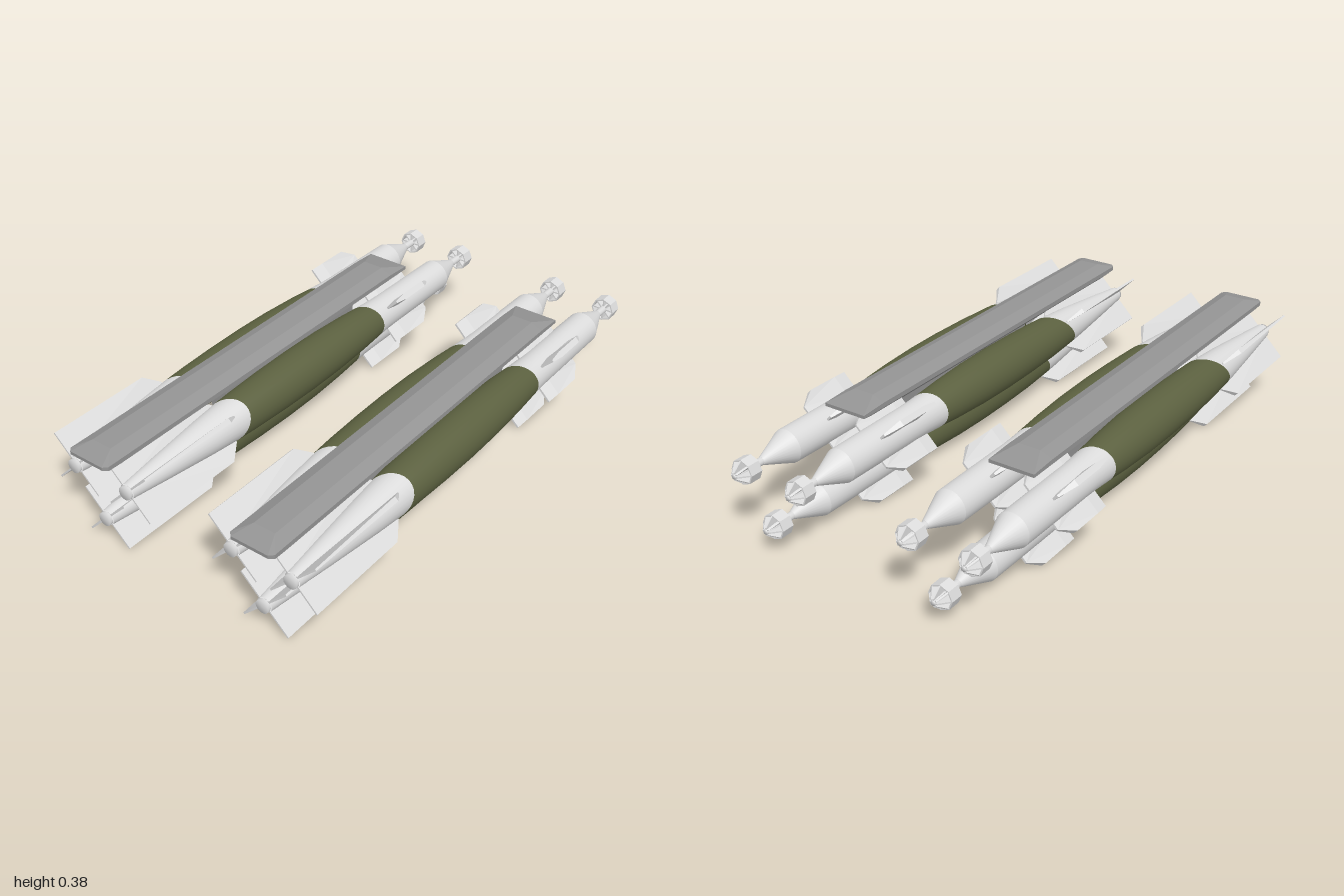
import * as THREE from 'three';
import { ConvexGeometry } from 'three/addons/geometries/ConvexGeometry.js';

const paint = (name, color, side = THREE.FrontSide) => {
  const m = new THREE.MeshStandardMaterial({ color, side });
  m.name = name;
  return m;
};

export function createModel() {
  const light = paint('light grey', 0xdcdcdc, THREE.DoubleSide);
  const olive = paint('olive', 0x5c6140);
  const grey = paint('rack grey', 0x949494);

  const add = (parent, name, geometry, material) => {
    const mesh = new THREE.Mesh(geometry, material);
    mesh.name = name;
    parent.add(mesh);
    return mesh;
  };

  // Body outline as [x, radius]
  const outline = [[-0.95, 0.028], [-0.8, 0.044], [-0.6, 0.064], [-0.49, 0.073], [-0.4, 0.078], [-0.25, 0.083],
    [-0.1, 0.085], [0.05, 0.083], [0.2, 0.076], [0.305, 0.068], [0.38, 0.064], [0.76, 0.061]];
  const radiusAt = (x) => {
    let i = 1;
    while (i < outline.length - 1 && outline[i][0] < x) i++;
    const [a, b] = [outline[i - 1], outline[i]];
    return THREE.MathUtils.mapLinear(x, a[0], b[0], a[1], b[1]);
  };

  // Turned section lying along x
  const turned = (points, sides = 28) =>
    new THREE.LatheGeometry(points.map(([x, r]) => new THREE.Vector2(r, x)), sides).rotateZ(-Math.PI / 2);

  // Slant the two colour borders around the body
  const slanted = (points) => {
    const g = turned(points), p = g.attributes.position;
    for (let i = 0; i < p.count; i++) {
      const x = p.getX(i), y = p.getY(i), z = p.getZ(i), r = Math.hypot(y, z);
      let nx = x;
      if (Math.abs(x + 0.49) < 0.001) nx += 0.038 * (y + z) / r;
      else if (Math.abs(x - 0.305) < 0.001) nx += 0.022 * z / r;
      else continue;
      const s = radiusAt(nx) / r;
      p.setXYZ(i, nx, y * s, z * s);
    }
    return g;
  };

  // Radial plate, thinned at its leading and trailing edges
  const fin = (points, thickness, x0, x1) => {
    const g = new THREE.ExtrudeGeometry(new THREE.Shape(points.map((q) => new THREE.Vector2(...q))),
      { depth: thickness, bevelEnabled: false }).translate(0, 0, -thickness / 2);
    const p = g.attributes.position;
    for (let i = 0; i < p.count; i++) {
      const x = p.getX(i);
      if (x < x0 + 0.001 || x > x1 - 0.001) p.setZ(i, p.getZ(i) * 0.35);
    }
    g.computeVertexNormals();
    return g;
  };

  const parts = {
    tailBody: [slanted(outline.slice(0, 4)), light],
    middleBody: [slanted(outline.slice(3, 10)), olive],
    forwardBody: [slanted(outline.slice(9)), light],
    noseCone: [turned([[0.76, 0.061], [0.88, 0.014]]), light],
    noseRod: [turned([[0.88, 0.014], [0.96, 0.014]], 12), light],
    noseTip: [turned([[0.96, 0.014], [1, 0.009], [1, 0]], 12), light],
    tailEnd: [turned([[-0.962, 0], [-0.962, 0.025], [-0.95, 0.025]], 16), light],
    noseRing: [turned([[0.92, 0.04], [0.92, 0.045], [0.966, 0.045], [0.966, 0.04], [0.92, 0.04]], 8).toNonIndexed(), light],
  };
  parts.noseRing[0].computeVertexNormals();
  const tailFin = fin([[-0.95, 0.015], [-0.5, 0.06], [-0.5, 0.075], [-0.56, 0.124], [-0.95, 0.124]], 0.018, -0.95, -0.5);
  const canard = fin([[0.375, 0.05], [0.43, 0.05], [0.55, 0.05], [0.61, 0.05], [0.61, 0.085], [0.55, 0.124],
    [0.43, 0.124], [0.375, 0.124]], 0.022, 0.375, 0.61);
  const vane = fin([[0.925, 0.005], [0.998, 0.005], [0.998, 0.014], [0.966, 0.042], [0.925, 0.042]], 0.005, 0, 2);

  const makeBomb = (y, z) => {
    const bomb = new THREE.Group();
    bomb.name = 'bomb';
    for (const [name, [geometry, material]] of Object.entries(parts)) add(bomb, name, geometry, material);
    for (let i = 0; i < 4; i++) {
      const angle = Math.PI / 4 + i * Math.PI / 2;
      add(bomb, 'tailFin', tailFin, light).rotation.x = angle;
      add(bomb, 'frontFin', canard, light).rotation.x = angle;
    }
    for (let i = 0; i < 8; i++) add(bomb, 'noseVane', vane, light).rotation.x = i * Math.PI / 4;
    bomb.position.set(0, y, z);
    return bomb;
  };

  // Solid from mirrored cross-sections: each is [x, [[halfWidth, y], ...]]
  const hull = (sections) => new ConvexGeometry(sections.flatMap(([x, pts]) =>
    pts.flatMap(([w, y]) => [new THREE.Vector3(x, y, w), new THREE.Vector3(x, y, -w)])));
  const full = [[0.04, 0.388], [0.084, 0.369], [0.084, 0.352], [0.042, 0.315]];
  const beam = hull([
    [-1, [[0.07, 0.37], [0.07, 0.358]]],
    [-0.985, [[0.084, 0.369], [0.084, 0.354]]],
    [-0.93, full], [0.5, full],
    [0.6, [[0.084, 0.364], [0.084, 0.352]]],
  ]);
  const strutEnd = [[0.04, 0.33], [0.026, 0.17]];
  const strut = hull([[-0.4, strutEnd], [0.32, strutEnd]]);

  // Two racks, three bombs each
  const model = new THREE.Group();
  model.name = 'bombRacks';
  for (const side of [1, -1]) {
    const rack = new THREE.Group();
    rack.name = side > 0 ? 'frontRack' : 'backRack';
    add(rack, 'beam', beam, grey);
    add(rack, 'strut', strut, grey);
    rack.add(makeBomb(0.264, 0.115), makeBomb(0.264, -0.115), makeBomb(0.1, 0));
    rack.position.z = side * 0.334;
    model.add(rack);
  }
  return model;
}
